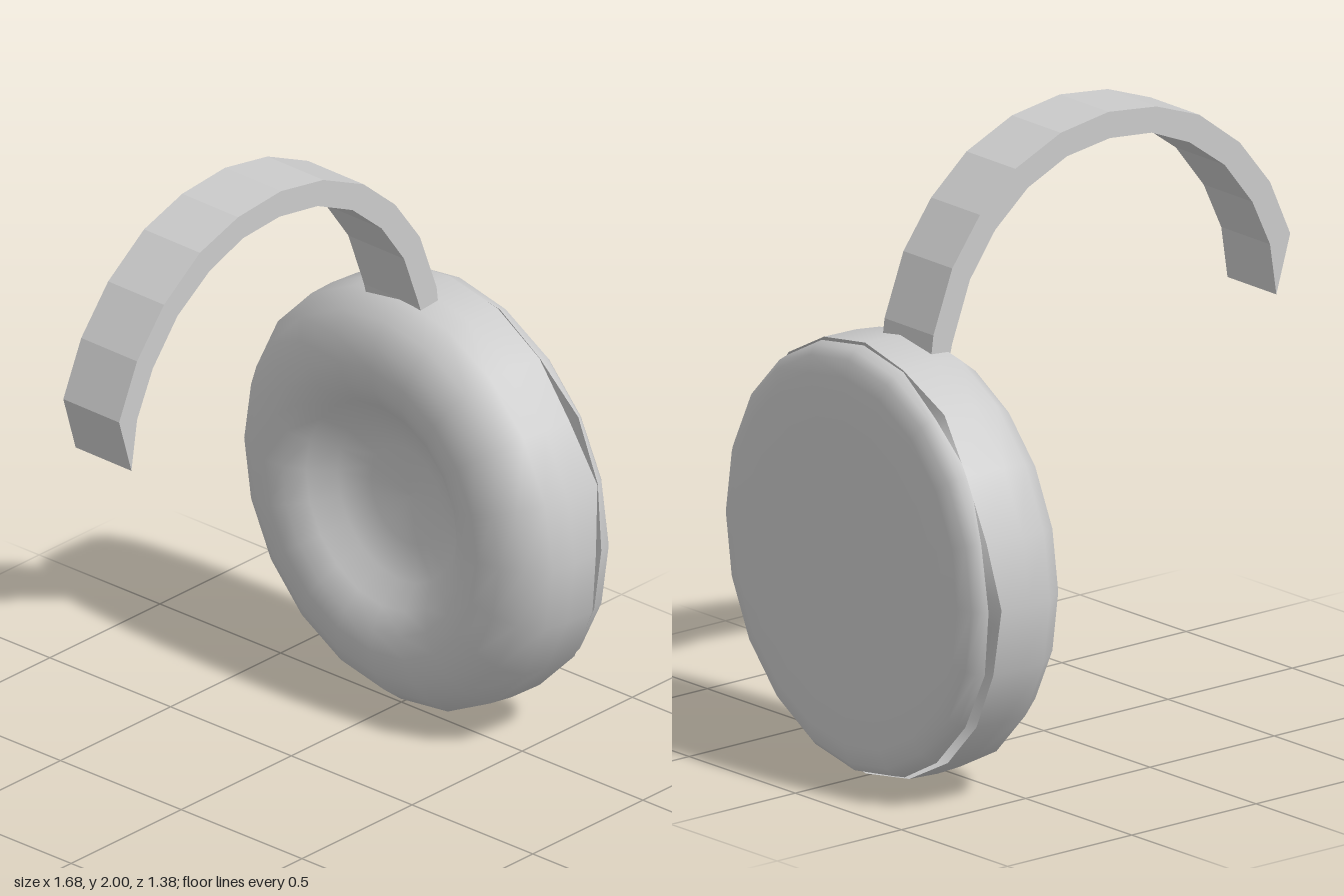
import * as THREE from 'three';

const SEGMENTS = 20;

// Small seeded generator, 0..1
function seeded(seed) {
  return () => (seed = (seed * 16807) % 2147483647) / 2147483647;
}

// Lathe shell whose open rim (one profile row) is ragged by a seeded amount
function raggedLathe(profile, row, amount, seed) {
  const points = profile.map(([r, u]) => new THREE.Vector2(r, u));
  const geometry = new THREE.LatheGeometry(points, SEGMENTS);
  const position = geometry.attributes.position;
  const random = seeded(seed);
  const offsets = Array.from({ length: SEGMENTS }, () => (random() - 0.5) * amount);
  for (let i = 0; i <= SEGMENTS; i++) {
    const k = i * points.length + row;
    position.setY(k, position.getY(k) + offsets[i % SEGMENTS]);
  }
  return geometry;
}

export function createModel() {
  const model = new THREE.Group();
  model.name = 'headphones';
  const smooth = new THREE.MeshStandardMaterial({ color: 0xcccccc, side: THREE.DoubleSide });
  const flat = new THREE.MeshStandardMaterial({ color: 0xcccccc, flatShading: true });

  function add(parent, name, geometry, material) {
    const mesh = new THREE.Mesh(geometry, material);
    mesh.name = name;
    parent.add(mesh);
    return mesh;
  }

  // Headband: faceted arch with tapered, slanted ends
  const outer = [[-0.84, 1.47], [-0.76, 1.65], [-0.64, 1.80], [-0.48, 1.92], [-0.31, 1.98], [-0.12, 2.0],
    [0.07, 1.97], [0.25, 1.89], [0.39, 1.77], [0.50, 1.62], [0.575, 1.42], [0.585, 1.34]];
  const inner = [[0.52, 1.30], [0.50, 1.38], [0.43, 1.57], [0.33, 1.71], [0.20, 1.82], [0.045, 1.89],
    [-0.125, 1.915], [-0.29, 1.90], [-0.44, 1.84], [-0.58, 1.74], [-0.69, 1.60], [-0.76, 1.45], [-0.785, 1.285]];
  const arch = new THREE.Shape([...outer, ...inner].map(([x, y]) => new THREE.Vector2(x, y)));
  const width = 0.235;
  const bandGeometry = new THREE.ExtrudeGeometry(arch, { depth: width, bevelEnabled: false });
  bandGeometry.translate(0, 0, -width / 2);
  const band = add(model, 'headband', bandGeometry, flat);
  band.position.z = -0.048;
  band.rotation.y = -0.0176;

  // Ear cup: lathed about its own axis, then turned to face sideways
  const cup = new THREE.Group();
  cup.name = 'earCup';
  cup.position.set(0.59, 0.695, 0);
  cup.rotation.set(0, -0.085, -Math.PI / 2);
  model.add(cup);

  // Cushion: dished inner face, rounded shoulder, open ragged back edge
  const cushion = [[0, -0.05], [0.16, -0.06], [0.27, -0.1], [0.34, -0.165], [0.41, -0.202], [0.48, -0.21],
    [0.56, -0.195], [0.63, -0.155], [0.685, -0.085], [0.692, 0], [0.69, 0.115]];
  add(cup, 'earCushion', raggedLathe(cushion, cushion.length - 1, 0.05, 71), smooth);

  // Outer cover: shallow rounded cap with an open edge
  const cover = [[0.682, 0.135], [0.672, 0.16], [0.645, 0.183], [0.59, 0.197], [0.45, 0.202], [0, 0.204]];
  add(cup, 'outerCover', raggedLathe(cover, 0, 0.03, 23), smooth);

  return model;
}
